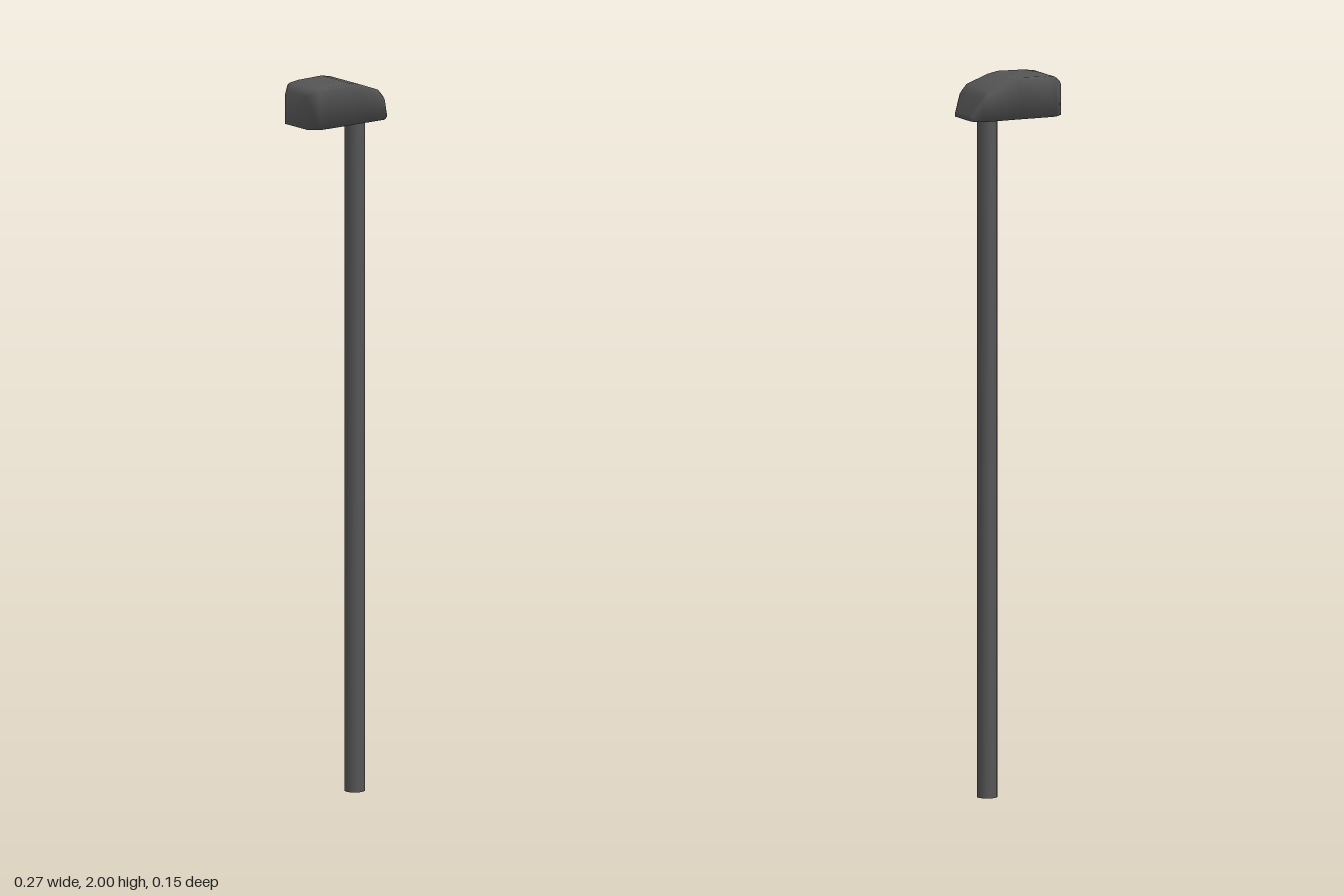
import * as THREE from 'three';
import { mergeVertices } from 'three/addons/utils/BufferGeometryUtils.js';

const material = new THREE.MeshStandardMaterial({ color: 0x555555 });

// Head: soft block lofted along x from [x, top height, half width]
function headGeometry() {
  const bottom = 1.885;
  const stations = [
    [-0.137, 1.978, 0.05], [-0.112, 1.994, 0.073], [-0.08, 1.998, 0.074],
    [0, 2, 0.073], [0.03, 1.994, 0.073], [0.06, 1.983, 0.073],
    [0.095, 1.97, 0.073], [0.112, 1.95, 0.073], [0.137, 1.9, 0.05],
  ];
  const n = 8;
  const positions = [];
  const index = [];
  for (const [x, top, w] of stations) {
    const c = Math.min(0.008, (top - bottom) / 3);
    const ring = [
      [bottom, -w], [top - c, -w], [top, -w + c], [top, -w / 3],
      [top, w / 3], [top, w - c], [top - c, w], [bottom, w],
    ];
    for (const [y, z] of ring) positions.push(x, y, z);
  }
  for (let i = 0; i < stations.length - 1; i++) {
    for (let j = 0; j < n; j++) {
      const a = i * n + j;
      const b = i * n + (j + 1) % n;
      index.push(a, b, b + n, a, b + n, a + n);
    }
  }
  // End caps
  const last = (stations.length - 1) * n;
  for (let j = 1; j < n - 1; j++) {
    index.push(0, j + 1, j, last, last + j, last + j + 1);
  }
  const geometry = new THREE.BufferGeometry();
  geometry.setAttribute('position', new THREE.Float32BufferAttribute(positions, 3));
  geometry.setIndex(index);
  geometry.computeVertexNormals();
  return geometry;
}

// Shaft: round rod whose normals blend into its end caps
function shaftGeometry() {
  let geometry = new THREE.CylinderGeometry(0.028, 0.028, 1.89, 16);
  geometry.deleteAttribute('normal');
  geometry.deleteAttribute('uv');
  geometry = mergeVertices(geometry);
  geometry.computeVertexNormals();
  return geometry;
}

export function createModel() {
  const group = new THREE.Group();
  group.name = 'mallet';

  const head = new THREE.Mesh(headGeometry(), material);
  head.name = 'head';

  const shaft = new THREE.Mesh(shaftGeometry(), material);
  shaft.name = 'shaft';
  shaft.position.set(0.063, 0.945, 0.002);

  group.add(head, shaft);
  return group;
}
